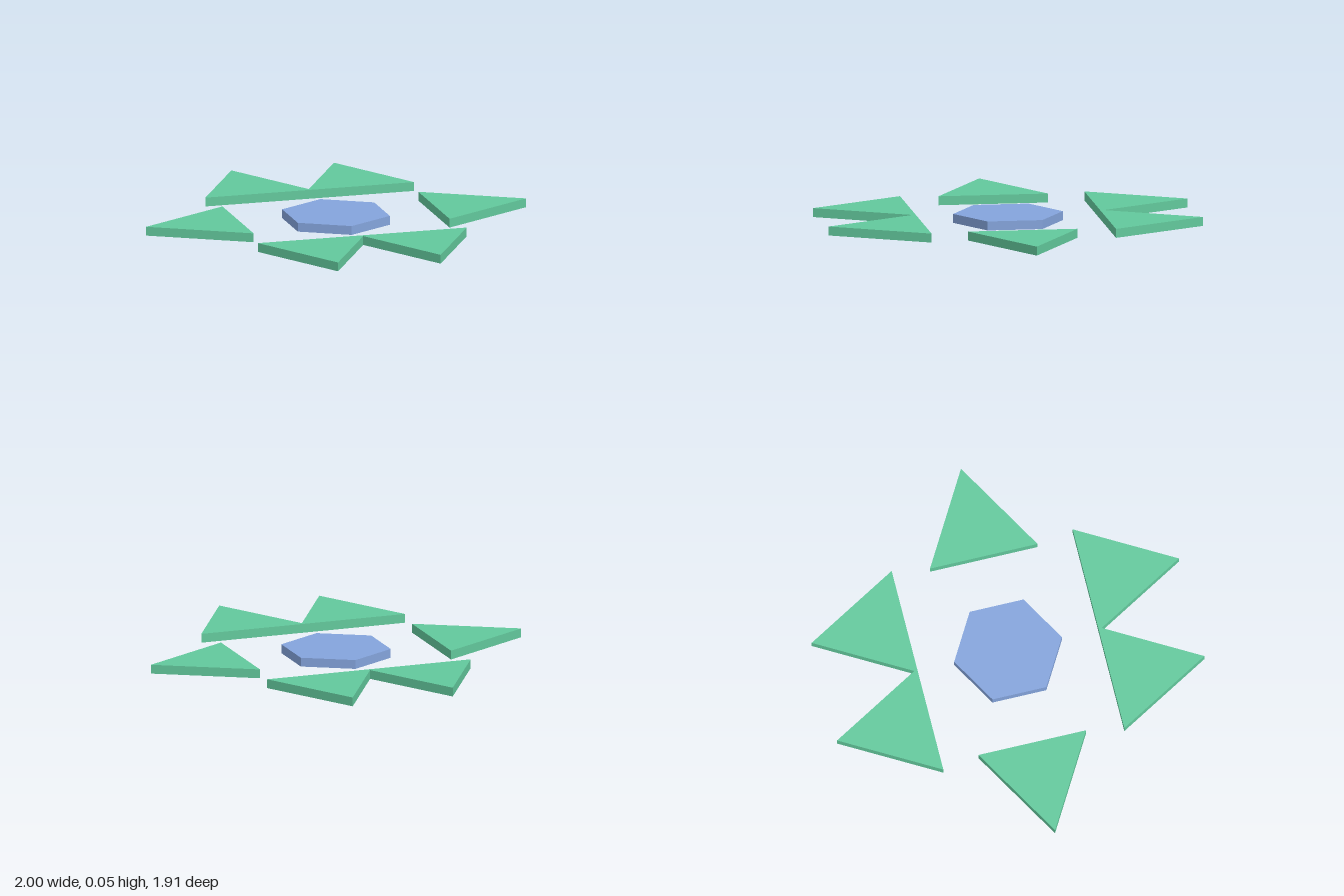
import * as THREE from 'three';

const THICKNESS = 0.046;
const GREEN = new THREE.MeshStandardMaterial({ color: 0x62c89c, flatShading: true });
const BLUE = new THREE.MeshStandardMaterial({ color: 0x84a4dc, flatShading: true });

// Flat prism standing on the ground, with one corner pointing along the given heading
function tile(name, sides, radius, material, x, z, heading) {
  const geometry = new THREE.CylinderGeometry(radius, radius, THICKNESS, sides);
  const mesh = new THREE.Mesh(geometry, material);
  mesh.name = name;
  mesh.position.set(x, THICKNESS / 2, z);
  mesh.rotation.y = heading;
  return mesh;
}

export function createModel() {
  const model = new THREE.Group();
  model.name = 'tileSet';

  // Central hexagon
  model.add(tile('hexagonTile', 6, 0.28, BLUE, 0, 0, 0));

  // Triangles around it, all pointing outwards
  const radius = 0.323;
  for (const side of [1, -1]) {
    const label = side > 0 ? 'left' : 'right';
    model.add(tile(label + 'Triangle', 3, radius, GREEN, side * 0.677, 0, side * Math.PI / 2));
    model.add(tile(label + 'FrontTriangle', 3, radius, GREEN, side * 0.27, 0.632, 0));
    model.add(tile(label + 'BackTriangle', 3, radius, GREEN, side * 0.27, -0.632, Math.PI));
  }
  return model;
}
